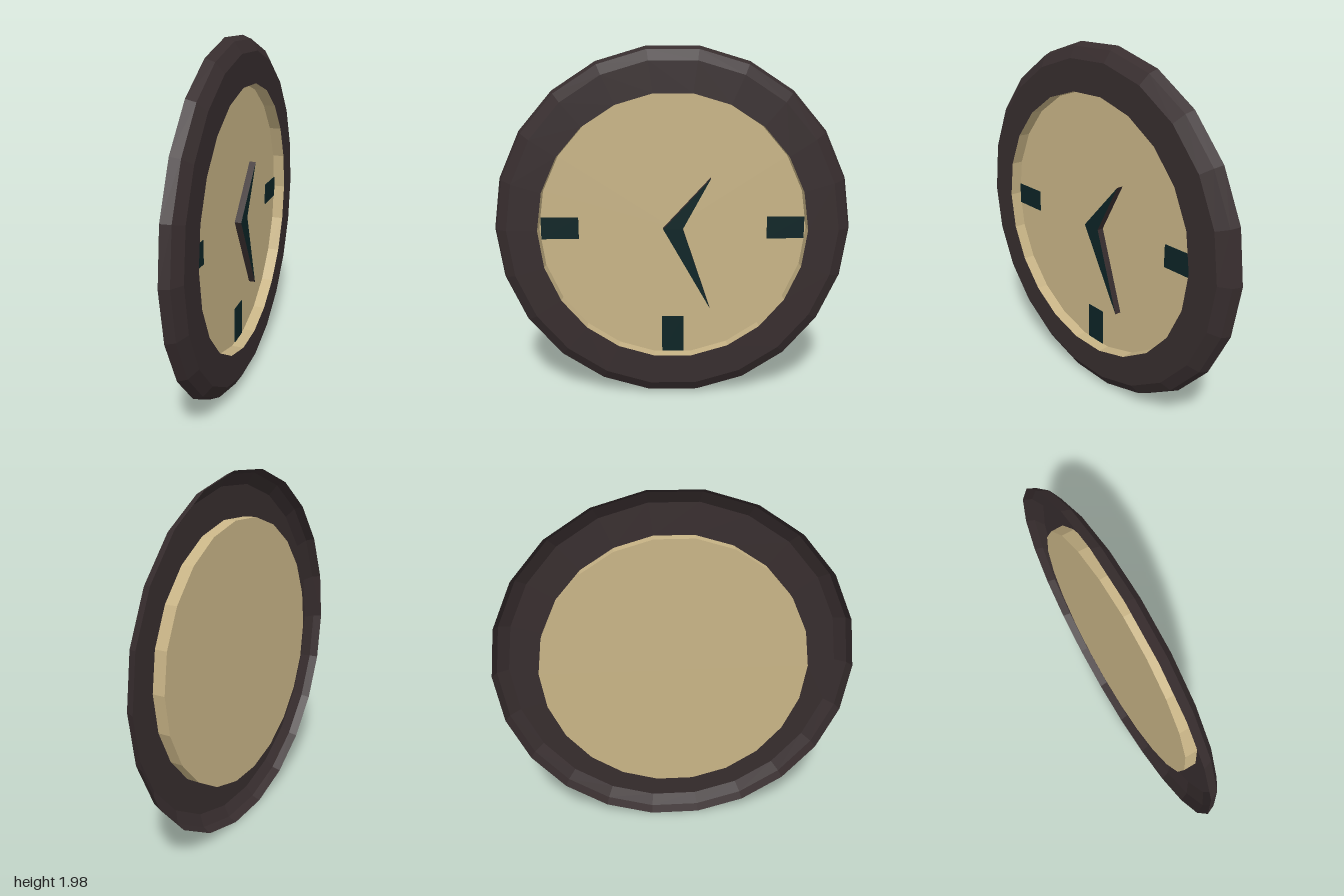
import * as THREE from 'three';

const SIDES = 22;      // facets around the clock
const CENTRE_Y = 0.99;
const DIAL_X = -0.026; // depth of the dial plate

function material(name, color) {
  return new THREE.MeshStandardMaterial({ name, color, flatShading: true, side: THREE.DoubleSide });
}

// Revolves [radius, x] points around the x axis
function revolve(name, points, mat) {
  const profile = points.map(([r, x]) => new THREE.Vector2(r, x));
  const geometry = new THREE.LatheGeometry(profile, SIDES).rotateZ(-Math.PI / 2);
  const mesh = new THREE.Mesh(geometry, mat);
  mesh.name = name;
  return mesh;
}

export function createModel() {
  const brown = material('dark brown', 0x372d2e);
  const tan = material('tan', 0xc8b486);
  const teal = material('dark teal', 0x0c2426);

  const clock = new THREE.Group();
  clock.name = 'wallClock';
  clock.position.y = CENTRE_Y;

  // Bevelled rim, open at the back
  clock.add(revolve('rim', [[1, -0.043], [0.98, 0.005], [0.92, 0.043], [0.75, 0.043]], brown));

  // Sunken dial with its side wall
  clock.add(revolve('dial', [[0.75, 0.043], [0.75, DIAL_X], [0, DIAL_X]], tan));

  // Hour marks at nine, three and six
  const marks = [
    ['markNine', 0, 0.635, 0.125, 0.21],
    ['markThree', 0, -0.635, 0.125, 0.21],
    ['markSix', -0.633, 0, 0.215, 0.125],
  ];
  for (const [name, y, z, height, width] of marks) {
    const mark = new THREE.Mesh(new THREE.BoxGeometry(0.004, height, width), teal);
    mark.name = name;
    mark.position.set(DIAL_X + 0.003, y, z);
    clock.add(mark);
  }

  // Both hands as one bent arrow, with brown edges
  const outline = new THREE.Shape([
    new THREE.Vector2(-0.055, 0),
    new THREE.Vector2(0.21, -0.465),
    new THREE.Vector2(0.055, 0),
    new THREE.Vector2(0.21, 0.285),
  ]);
  const handGeometry = new THREE.ExtrudeGeometry(outline, { depth: 0.038, bevelEnabled: false });
  handGeometry.rotateY(Math.PI / 2);
  const hands = new THREE.Mesh(handGeometry, [teal, brown]);
  hands.name = 'hands';
  hands.position.x = DIAL_X + 0.001;
  clock.add(hands);

  const model = new THREE.Group();
  model.name = 'model';
  model.add(clock);
  return model;
}
